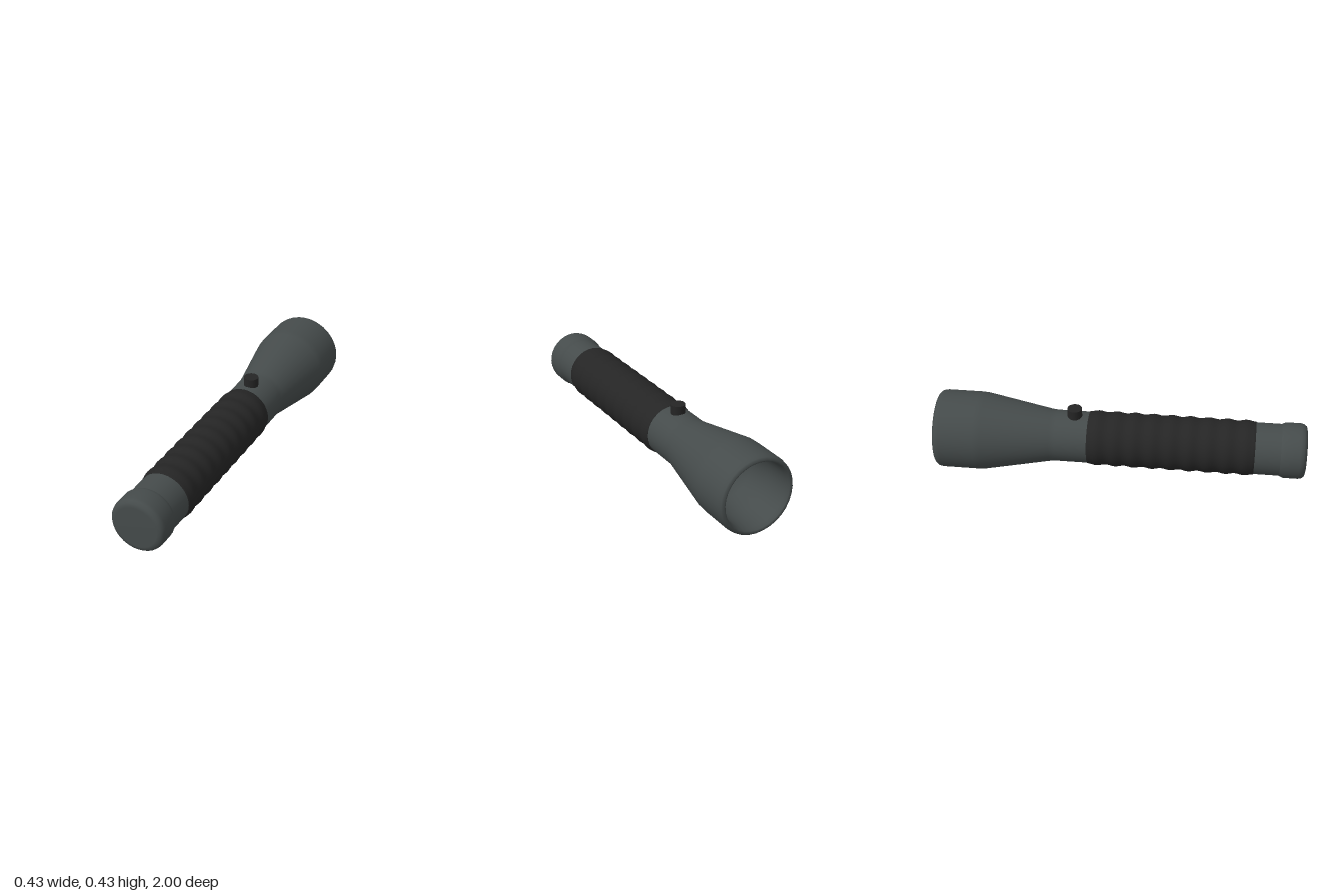
import * as THREE from 'three';

const AXIS_Y = 0.214;

// Revolves [radius, z] pairs around the long axis of the torch.
function revolve(name, profile, material) {
  const points = profile.map(([r, z]) => new THREE.Vector2(r, z));
  const geometry = new THREE.LatheGeometry(points, 32);
  geometry.rotateX(Math.PI / 2);
  const mesh = new THREE.Mesh(geometry, material);
  mesh.name = name;
  mesh.position.y = AXIS_Y;
  return mesh;
}

export function createModel() {
  const metal = new THREE.MeshStandardMaterial({ color: 0x454b4b });
  metal.name = 'grey metal';
  const rubber = new THREE.MeshStandardMaterial({ color: 0x252525 });
  rubber.name = 'black rubber';

  const torch = new THREE.Group();
  torch.name = 'torch';

  // Hollow flared head, from the bottom of the bowl over the rim to the neck
  torch.add(revolve('head', [
    [0, -0.6], [0.09, -0.63], [0.145, -0.72], [0.172, -0.84], [0.18, -0.97],
    [0.186, -0.993], [0.197, -1], [0.208, -0.988], [0.213, -0.965],
    [0.213, -0.78], [0.211, -0.74], [0.143, -0.38], [0.14, -0.35], [0.14, -0.17],
  ], metal));

  // Straight tube under the grip
  torch.add(revolve('barrel', [[0.14, -0.18], [0.14, 0.88]], metal));

  // Tail cap with a rounded end
  torch.add(revolve('tailCap', [
    [0.139, 0.86], [0.15, 0.885], [0.15, 0.965], [0.146, 0.982],
    [0.135, 0.995], [0.115, 1], [0, 1],
  ], metal));

  // Ribbed grip: nine soft rings
  const start = -0.175, rings = 9, pitch = 0.1, steps = 8;
  const grip = [[0.138, start]];
  for (let i = 0; i <= rings * steps; i++) {
    const t = i / steps;
    grip.push([0.1465 - 0.0038 * Math.cos(t * Math.PI * 2), start + t * pitch]);
  }
  grip.push([0.138, start + rings * pitch]);
  torch.add(revolve('grip', grip, rubber));

  // Push button on top of the neck
  const button = new THREE.Mesh(new THREE.CylinderGeometry(0.04, 0.04, 0.07, 16), rubber);
  button.name = 'button';
  button.position.set(0, 0.365, -0.25);
  torch.add(button);

  return torch;
}
